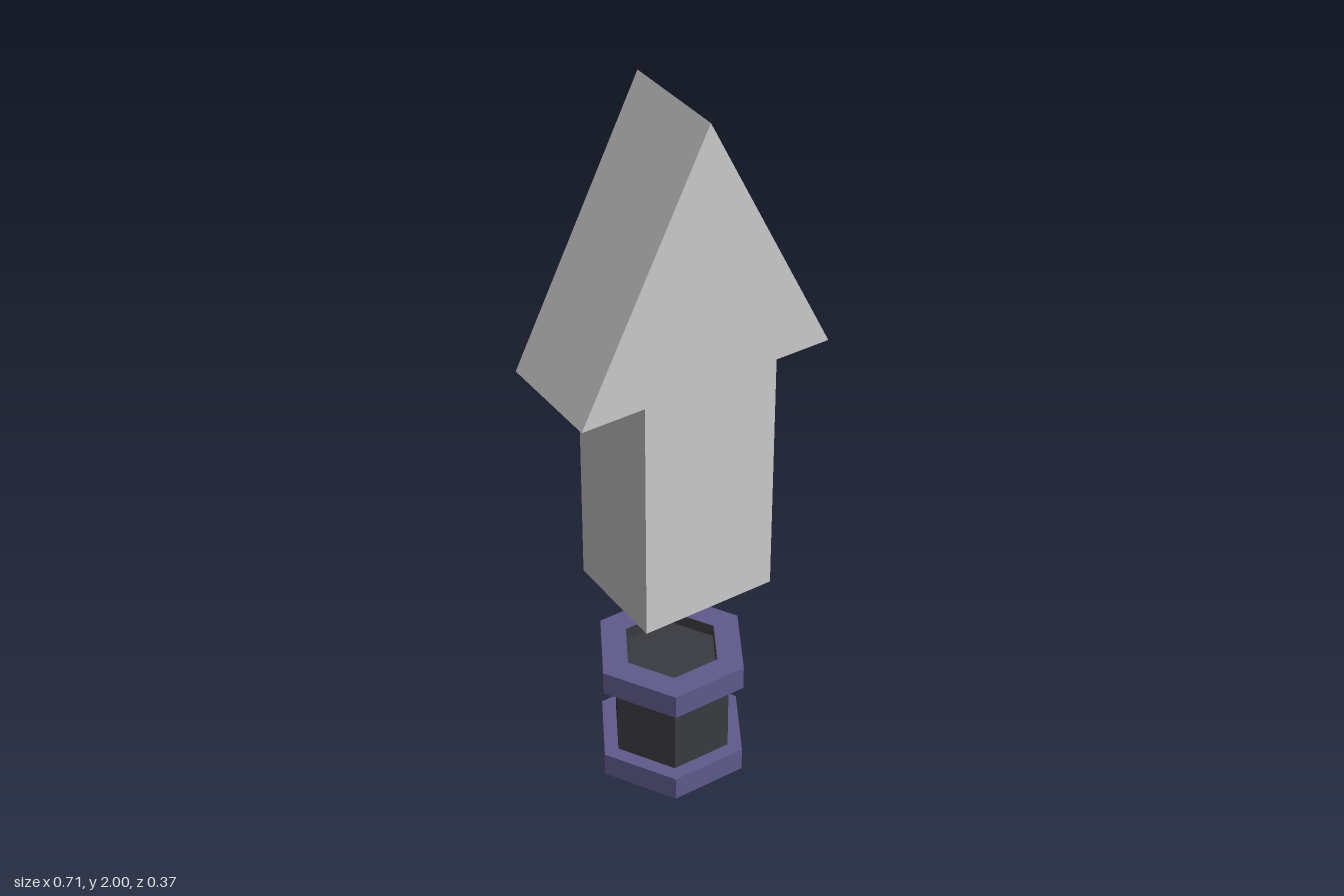
import * as THREE from 'three';

const grey = new THREE.MeshStandardMaterial({ color: 0xcccccc, flatShading: true });
const purple = new THREE.MeshStandardMaterial({ color: 0x605a8c, flatShading: true });
const dark = new THREE.MeshStandardMaterial({ color: 0x3a3b40, flatShading: true });

// Six corners, with one corner on the x axis
const hexagon = (r) => Array.from({ length: 6 }, (_, i) =>
  new THREE.Vector2(r * Math.cos(i * Math.PI / 3), r * Math.sin(i * Math.PI / 3)));

// Upright hexagonal prism from y0 to y1, optionally with a hexagonal hole
function hexPrism(name, material, y0, y1, r, hole = 0) {
  const shape = new THREE.Shape(hexagon(r));
  if (hole) shape.holes.push(new THREE.Path(hexagon(hole)));
  const geo = new THREE.ExtrudeGeometry(shape, { depth: y1 - y0, bevelEnabled: false });
  geo.rotateX(-Math.PI / 2).translate(0, y0, 0);
  const mesh = new THREE.Mesh(geo, material);
  mesh.name = name;
  return mesh;
}

export function createModel() {
  const model = new THREE.Group();
  model.name = 'arrowMarker';

  // Floating upward arrow
  const outline = new THREE.Shape([
    [-0.18, 0.595], [0.2, 0.595], [0.2, 1.29], [0.355, 1.29],
    [0, 2], [-0.355, 1.29], [-0.18, 1.29],
  ].map(([x, y]) => new THREE.Vector2(x, y)));
  const arrowGeo = new THREE.ExtrudeGeometry(outline, { depth: 0.303, bevelEnabled: false });
  arrowGeo.translate(0, 0, -0.142);
  const arrow = new THREE.Mesh(arrowGeo, grey);
  arrow.name = 'arrow';
  model.add(arrow);

  // Hexagonal base: dark core, and a plug that forms the recess floors
  const base = new THREE.Group();
  base.name = 'base';
  base.add(hexPrism('core', dark, 0.07, 0.29, 0.17));
  base.add(hexPrism('recessFloor', dark, 0.035, 0.325, 0.135));

  // Rings at both ends with dark-lined holes
  for (const [end, y] of [['bottom', 0], ['top', 0.29]]) {
    base.add(hexPrism(end + 'Ring', purple, y, y + 0.07, 0.213, 0.136));
    base.add(hexPrism(end + 'Lining', dark, y, y + 0.07, 0.136, 0.134));
  }
  model.add(base);
  return model;
}
